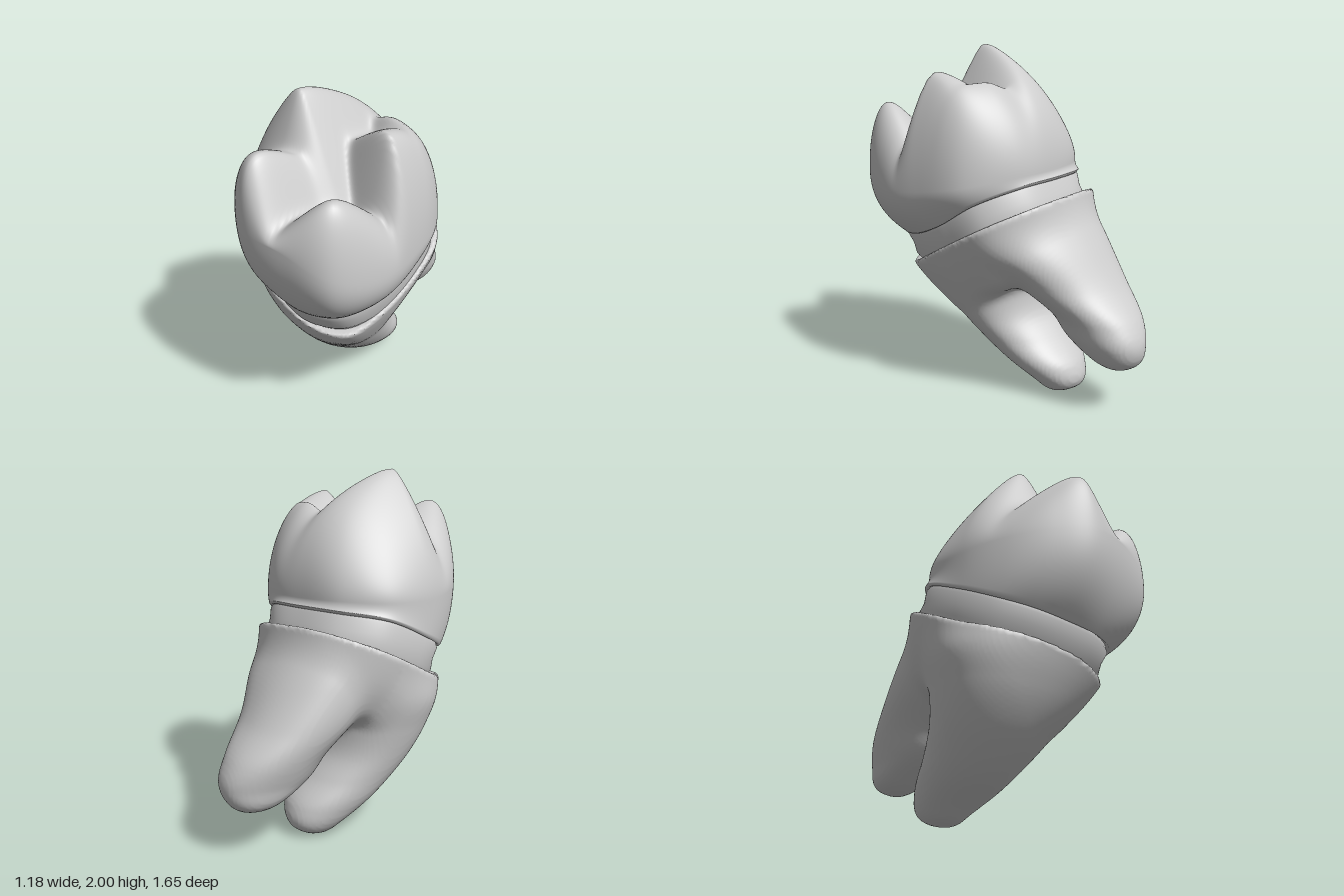
import * as THREE from 'three';

const N = 156; // points around each ring

// Paired control points: widest crown outline [x,y,z] and crown neck edge [x,y,z]
const RINGS = [
  [0.05, 1.40, 0.82, -0.02, 0.94, 0.63], [0.30, 1.40, 0.78, 0.22, 0.91, 0.62],
  [0.54, 1.28, 0.65, 0.40, 0.91, 0.50], [0.60, 1.20, 0.37, 0.45, 0.94, 0.28],
  [0.55, 1.22, 0.10, 0.44, 1.04, 0.02], [0.42, 1.27, -0.18, 0.36, 1.18, -0.20],
  [0.15, 1.32, -0.31, 0.13, 1.27, -0.32], [-0.13, 1.33, -0.27, -0.13, 1.29, -0.29],
  [-0.37, 1.34, -0.16, -0.38, 1.29, -0.18], [-0.51, 1.33, 0.06, -0.53, 1.25, 0.05],
  [-0.48, 1.32, 0.36, -0.49, 1.12, 0.33], [-0.35, 1.34, 0.58, -0.37, 1.03, 0.50],
  [-0.15, 1.38, 0.74, -0.20, 0.98, 0.59],
];
const ring = (o) => {
  const c = new THREE.CatmullRomCurve3(
    RINGS.map((r) => new THREE.Vector3(r[o], r[o + 1], r[o + 2])), true);
  return Array.from({ length: N }, (_, i) => c.getPoint(i / N));
};

// Closed rings, listed from top to bottom, joined into a smooth skin
function loft(rows) {
  const pos = [], idx = [];
  rows.forEach((row) => row.forEach((p) => pos.push(p.x, p.y, p.z)));
  for (let j = 0; j < rows.length - 1; j++) {
    for (let i = 0; i < N; i++) {
      const k = (i + 1) % N;
      const a = j * N + i, b = a + N, c = (j + 1) * N + k, d = j * N + k;
      idx.push(a, b, c, a, c, d);
    }
  }
  return toGeometry(pos, idx);
}

function toGeometry(pos, idx) {
  const g = new THREE.BufferGeometry();
  g.setAttribute('position', new THREE.Float32BufferAttribute(pos, 3));
  g.setIndex(idx);
  g.computeVertexNormals();
  return g;
}

// Cusps: x, z, height, then slopes towards -x, +x, -z, +z
const CUSPS = [
  [-0.08, 0.34, 2.03, 1.25, 1.9, 0.55, 2.7],
  [0.04, 0.79, 1.87, 0.9, 2.3, 0.55, 1.0],
  [0.38, 0.15, 1.91, 0.8, 1.3, 0.4, 4.0],
  [0.48, 0.58, 1.74, 1.15, 1.0, 0.95, 0.8],
  [0.19, -0.06, 1.86, 0.7, 0.3, 0.75, 2.8], // ridge between the two rear cusps
];
function biteHeight(x, z) {
  const k = 0.035;
  let sum = Math.exp(1.36 / k);
  for (const [cx, cz, h, l, r, b, f] of CUSPS) {
    const dx = (x - cx) * (x < cx ? l : r), dz = (z - cz) * (z < cz ? b : f);
    sum += Math.exp((h + 0.04 - Math.hypot(dx, dz, 0.07)) / k);
  }
  return k * Math.log(sum);
}

function crownGeometry(outline, neck) {
  const rows = [], mid = new THREE.Vector3(0.05, 0, 0.25), J = 60;
  // Biting surface, from the middle out to the widest outline, squarer at the front
  for (let j = 0; j <= J; j++) {
    const s = Math.sin((j / J) * Math.PI / 2);
    rows.push(outline.map((p) => {
      const dome = Math.sqrt(Math.max(0, 1 - s ** (6 + 5 * p.z)));
      const x = mid.x + (p.x - mid.x) * s, z = mid.z + (p.z - mid.z) * s;
      return new THREE.Vector3(x, p.y + (biteHeight(x, z) - p.y) * dome, z);
    }));
  }
  // Side wall curving in to the neck
  for (let j = 1; j <= 14; j++) {
    rows.push(outline.map((p, i) => {
      const q = neck[i];
      const bend = new THREE.Vector3(p.x, p.y * 0.4 + q.y * 0.6, p.z);
      return new THREE.QuadraticBezierCurve3(p, bend, q).getPoint(j / 14);
    }));
  }
  // Small turned-under lip
  rows.push(scaled(neck, 0.98, -0.012), scaled(neck, 0.9, 0.01));
  return loft(rows);
}

// Step from the crown edge to the root rim, down the tilted tooth axis
const SHIFT = new THREE.Vector3(-0.03, -0.165, -0.07);
const centre = (pts) => pts.reduce((a, p) => a.add(p), new THREE.Vector3()).divideScalar(N);

// A ring scaled about its centre, lifted, and slid down the tooth axis
function scaled(pts, s, dy, along = 0) {
  const c = centre(pts), shift = SHIFT.clone().multiplyScalar(along);
  shift.y += dy;
  return pts.map((p) => p.clone().sub(c).multiplyScalar(s).add(c).add(shift));
}

const smoothMin = (a, b, k) => {
  const h = Math.max(k - Math.abs(a - b), 0) / k;
  return Math.min(a, b) - h * h * k / 4;
};
const smoothMax = (a, b, k) => -smoothMin(-a, -b, k);

// Root branch slices: y, then centre z, half depth, centre x, half width
const FRONT = [
  [-0.005, -0.24, 0.07, -0.22, 0.08], [0.05, -0.24, 0.145, -0.22, 0.135],
  [0.17, -0.14, 0.245, -0.19, 0.22], [0.32, 0.01, 0.27, -0.155, 0.29],
  [0.45, 0.11, 0.28, -0.13, 0.345], [0.6, 0.17, 0.31, -0.11, 0.40],
  [0.78, 0.19, 0.35, -0.095, 0.455], [1.0, 0.13, 0.38, -0.09, 0.44], [1.3, 0.1, 0.36, -0.1, 0.42],
];
const BACK = [
  [0.245, -0.65, 0.07, -0.3, 0.06], [0.29, -0.64, 0.145, -0.3, 0.12],
  [0.4, -0.575, 0.255, -0.28, 0.18], [0.53, -0.5, 0.28, -0.27, 0.23],
  [0.7, -0.33, 0.31, -0.21, 0.32], [0.9, -0.165, 0.355, -0.12, 0.41],
  [1.15, 0, 0.37, -0.08, 0.42], [1.3, 0.02, 0.34, -0.08, 0.4],
];
function branchField(table) {
  const curve = new THREE.CubicInterpolant(
    table.map((r) => r[0]), table.flatMap((r) => r.slice(1)), 4, new Float32Array(4));
  return (x, y, z) => {
    const [zc, zr, xc, xr] = curve.evaluate(y);
    const e = 2.2;
    const d = (Math.abs((x - xc) / xr) ** e + Math.abs((z - zc) / zr) ** e) ** (1 / e) - 1;
    return smoothMax(d * Math.min(xr, zr), table[0][0] - y, 0.04);
  };
}

const rimHeight = (x, z) => 0.99 - 0.18 * x - 0.49 * z + 1.2 * Math.max(0, z - 0.3) ** 2;

// Upper root: the neck outline carried down the tooth axis, narrowing as it goes
function collarField(neck) {
  const c = centre(neck);
  const polar = neck.map((p) => [Math.atan2(p.z - c.z, p.x - c.x), Math.hypot(p.x - c.x, p.z - c.z)])
    .sort((a, b) => a[0] - b[0]);
  const radius = new THREE.LinearInterpolant(
    polar.map((p) => p[0]), polar.map((p) => p[1]), 1, new Float32Array(1));
  return (x, y, z) => {
    const t = 1 + (rimHeight(x, z) - y) / 0.205;
    const dx = x - c.x - SHIFT.x * t, dz = z - c.z - SHIFT.z * t;
    const taper = 1.02 - 0.11 * (t - 1) - 0.03 * Math.max(0, t - 1) ** 2;
    const r = radius.evaluate(Math.atan2(dz, dx))[0] * taper;
    return smoothMax((Math.hypot(dx, dz) - r) * 0.9, (t - 3) * 0.18, 0.08);
  };
}

// Branches and collar blended, cut by the sloping rim, skinned on a regular grid
function rootGeometry(neck) {
  const front = branchField(FRONT), back = branchField(BACK), collar = collarField(neck);
  const field = (x, y, z) => {
    const legs = smoothMin(front(x, y, z), back(x, y, z), 0.07);
    const body = smoothMin(legs, collar(x, y, z), 0.07);
    return smoothMax(body, (y - rimHeight(x, z)) * 0.88, 0.02);
  };
  const step = 0.016, lo = [-0.68, -0.05, -0.91], n = [74, 86, 98];
  const at = (x, y, z) => x + n[0] * (y + n[1] * z);
  const val = new Float32Array(n[0] * n[1] * n[2]);
  const cell = new Int32Array(val.length).fill(-1);
  const each = (from, to, fn) => {
    for (let z = from; z < n[2] - to; z++)
      for (let y = from; y < n[1] - to; y++)
        for (let x = from; x < n[0] - to; x++) fn(x, y, z);
  };
  each(0, 0, (x, y, z) => {
    val[at(x, y, z)] = field(lo[0] + x * step, lo[1] + y * step, lo[2] + z * step);
  });

  const pos = [], idx = [], stride = [1, n[0], n[0] * n[1]];
  // One point in every cell the surface crosses
  each(0, 1, (x, y, z) => {
    const sum = [0, 0, 0];
    let count = 0;
    for (let c = 0; c < 8; c++) {
      for (let a = 0; a < 3; a++) {
        if (c & (1 << a)) continue;
        const o = [c & 1, (c >> 1) & 1, (c >> 2) & 1];
        const p = at(x + o[0], y + o[1], z + o[2]);
        const u = val[p], v = val[p + stride[a]];
        if ((u < 0) === (v < 0)) continue;
        o[a] += u / (u - v);
        o.forEach((t, i) => { sum[i] += t; });
        count++;
      }
    }
    if (!count) return;
    cell[at(x, y, z)] = pos.length / 3;
    [x, y, z].forEach((t, i) => pos.push(lo[i] + (t + sum[i] / count) * step));
  });
  // One face for every grid edge the surface crosses
  each(1, 1, (x, y, z) => {
    const p = at(x, y, z);
    for (let a = 0; a < 3; a++) {
      if ((val[p] < 0) === (val[p + stride[a]] < 0)) continue;
      const b = stride[(a + 1) % 3], c = stride[(a + 2) % 3];
      const q = [cell[p - b - c], cell[p - c], cell[p], cell[p - b]];
      if (val[p] >= 0) q.reverse();
      idx.push(q[0], q[1], q[2], q[0], q[2], q[3]);
    }
  });
  return toGeometry(pos, idx);
}

export function createModel() {
  const model = new THREE.Group();
  model.name = 'molarTooth';
  const enamel = new THREE.MeshStandardMaterial({ color: 0xcccccc });
  enamel.name = 'paleGrey';
  const add = (name, geometry) => {
    const mesh = new THREE.Mesh(geometry, enamel);
    mesh.name = name;
    model.add(mesh);
  };
  const outline = ring(0), neck = ring(3);
  add('crown', crownGeometry(outline, neck));
  // Recessed band between crown and root
  add('neckBand', loft([
    scaled(neck, 0.93, 0.02), scaled(neck, 0.97, 0, 0.15), scaled(neck, 0.95, 0, 0.5),
    scaled(neck, 0.96, 0, 0.85), scaled(neck, 0.9, 0, 1.25),
  ]));
  add('root', rootGeometry(neck));
  return model;
}
